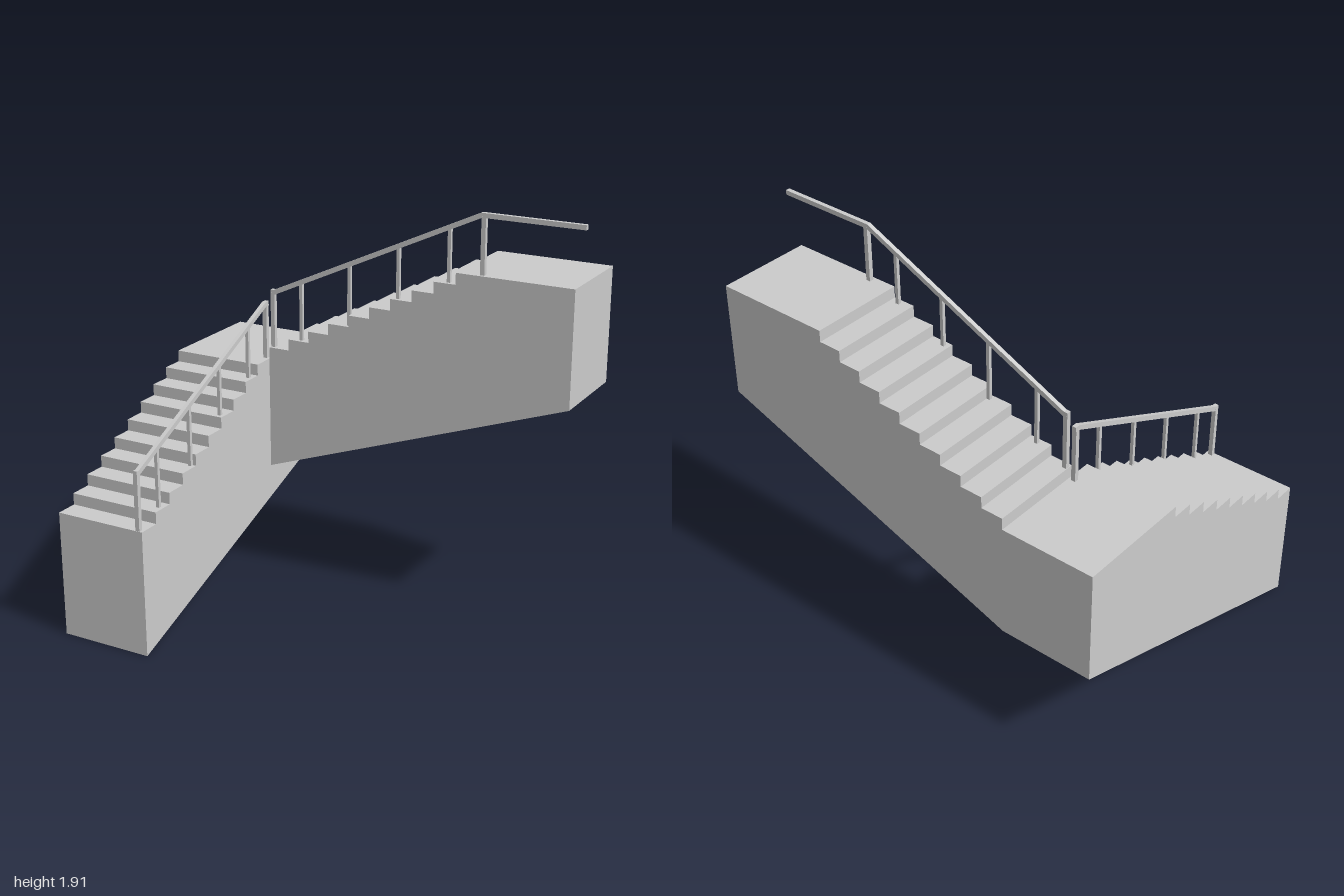
import * as THREE from 'three';

const RISE = 0.0543, TREAD = 0.107, STEPS = 9;
const FIRST = 0.6;      // height of the lowest tread
const LENGTH = 1.52, WIDTH = 0.45;
const RAIL_Z = -0.025;  // railing inset from the open edge

const material = new THREE.MeshStandardMaterial({ color: 0xcccccc, flatShading: true });

const treadHeight = s => FIRST + Math.min(STEPS, Math.floor(s / TREAD)) * RISE;

// Extrudes a side profile (run, height) between two depths
function extrudeProfile(name, points, zMin, zMax) {
  const shape = new THREE.Shape(points.map(p => new THREE.Vector2(...p)));
  const geometry = new THREE.ExtrudeGeometry(shape, { depth: zMax - zMin, bevelEnabled: false });
  geometry.translate(0, 0, zMin);
  const mesh = new THREE.Mesh(geometry, material);
  mesh.name = name;
  return mesh;
}

// Flight rising along +x, with its railing on the +z edge
function createFlight(name, railEnd) {
  const flight = new THREE.Group();
  flight.name = name;

  // Solid body: sloped underside, stepped top, flat landing
  const profile = [[0, 0], [LENGTH, 0.545], [LENGTH, FIRST + STEPS * RISE]];
  for (let i = STEPS; i > 0; i--) {
    profile.push([i * TREAD, FIRST + i * RISE], [i * TREAD, FIRST + (i - 1) * RISE]);
  }
  profile.push([0, FIRST]);
  flight.add(extrudeProfile('stepsAndLanding', profile, -WIDTH, 0));

  // Handrail: short flat start, slope, flat end
  flight.add(extrudeProfile('handrail', [
    [0.002, 0.858], [0.026, 0.858], [1.074, 1.343], [railEnd, 1.343],
    [railEnd, 1.365], [1.07, 1.365], [0.02, 0.88], [0.002, 0.88],
  ], RAIL_Z - 0.01, RAIL_Z + 0.01));

  // Posts: thicker at both ends, slim between
  [0.0125, 0.165, 0.42, 0.67, 0.92, 1.082].forEach((s, i, all) => {
    const size = i === 0 || i === all.length - 1 ? 0.021 : 0.016;
    const base = treadHeight(s);
    const top = Math.min(1.35, 0.865 + Math.max(0, s - 0.02) * 0.462);
    const post = new THREE.Mesh(new THREE.BoxGeometry(size, top - base, size), material);
    post.position.set(s, (base + top) / 2, RAIL_Z);
    post.name = 'railPost';
    flight.add(post);
  });
  return flight;
}

export function createModel() {
  const model = new THREE.Group();
  model.name = 'cornerStaircase';

  // Lower flight climbs toward the back
  const lower = createFlight('lowerFlight', 1.095);
  lower.rotation.y = Math.PI / 2;
  lower.position.set(-0.55, 0, 0.76);

  // Upper flight turns the corner and climbs toward +x
  const upper = createFlight('upperFlight', 1.55);
  upper.position.set(-0.55, 0.545, -0.31);

  model.add(lower, upper);
  return model;
}
